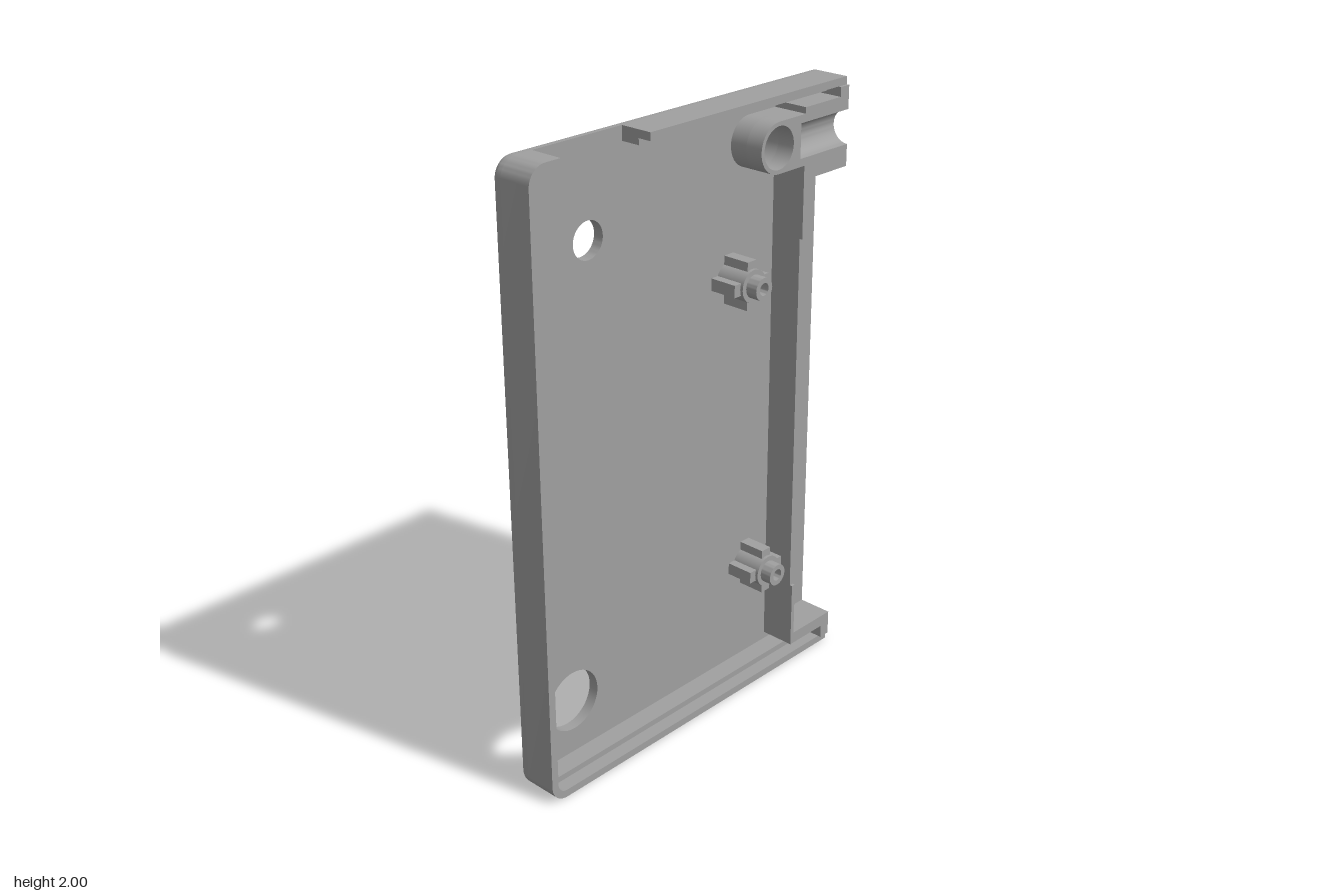
import * as THREE from 'three';
import { toCreasedNormals } from 'three/addons/utils/BufferGeometryUtils.js';

const X = 0.655, H = 2, R = 0.06;           // half width, height, corner radius
const BACK = -0.09, FLOOR = -0.055, LEDGE = 0.01, RIM = 0.055, RAISED = 0.065;

export function createModel() {
  const group = new THREE.Group();
  const grey = new THREE.MeshStandardMaterial({ color: 0xa0a0a0 });
  grey.name = 'grey';

  const add = (name, geometry, parent = group) => {
    const mesh = new THREE.Mesh(toCreasedNormals(geometry, 0.6), grey);
    mesh.name = name;
    parent.add(mesh);
    return mesh;
  };
  // plan shape raised from z0 to z1
  const raise = (name, shape, z0, z1, parent) => {
    const g = new THREE.ExtrudeGeometry(shape, { depth: z1 - z0, bevelEnabled: false, curveSegments: 20 });
    return add(name, g.translate(0, 0, z0), parent);
  };
  const polygon = (points) => new THREE.Shape(points.map(([x, y]) => new THREE.Vector2(x, y)));
  const rect = (x0, x1, y0, y1) => polygon([[x0, y0], [x1, y0], [x1, y1], [x0, y1]]);
  const circle = (x, y, r) => new THREE.Path().absarc(x, y, r, 0, Math.PI * 2, true);
  const arc = (x, y, r, a0, a1, n = 12) => Array.from({ length: n + 1 }, (_, i) => {
    const a = a0 + (a1 - a0) * i / n;
    return [x + r * Math.cos(a), y + r * Math.sin(a)];
  });
  // top end to right end, round the two left corners, at a given inset
  const edgePath = (inset, xTop, xBottom) => [
    [xTop, H - inset],
    ...arc(-X + R, H - R, R - inset, Math.PI / 2, Math.PI),
    ...arc(-X + R, R, R - inset, Math.PI, Math.PI * 1.5),
    [xBottom, inset],
  ];

  // back plate with three through holes
  const plate = polygon([...edgePath(0, X, X)]);
  plate.holes.push(circle(-0.345, 1.7, 0.058), circle(-0.455, 0.23, 0.102), circle(0.33, 1.845, 0.067));
  const plateGeo = new THREE.ExtrudeGeometry(plate, { depth: 1, steps: 6, bevelEnabled: false, curveSegments: 24 });
  const pos = plateGeo.attributes.position;
  const fillet = 0.022;
  for (let i = 0; i < pos.count; i++) {
    // round the rear edge, except along the open right side
    const step = Math.round(pos.getZ(i) * 6);
    const a = Math.min(step / 5, 1) * Math.PI / 2;
    const k = (R - fillet * (1 - Math.sin(a))) / R;
    const x = pos.getX(i), y = pos.getY(i);
    const cx = Math.max(x, -X + R), cy = THREE.MathUtils.clamp(y, R, H - R);
    const z = step === 6 ? FLOOR : BACK + fillet * (1 - Math.cos(a));
    pos.setXYZ(i, cx + (x - cx) * k, cy + (y - cy) * k, z);
  }
  add('backPlate', plateGeo);

  // outer rim and lower inner ledge, with a gap in the top side
  const band = (a, b, xEnd) => polygon([...edgePath(a, -0.54, xEnd), ...edgePath(b, -0.54, xEnd).reverse()]);
  raise('outerRim', band(0, 0.025, X), FLOOR, RIM);
  raise('innerLedge', band(0.025, 0.045, 0.615), FLOOR, LEDGE);
  raise('topRim', rect(-0.205, X, H - 0.025, H), FLOOR, RIM);
  raise('topLedge', rect(-0.205, 0.615, H - 0.045, H - 0.025), FLOOR, LEDGE);

  // partition beside the open channel, raised at both ends
  raise('partition', rect(0.45, 0.465, 0.11, 1.72), FLOOR, RIM);
  raise('partitionLowerEnd', rect(0.45, 0.465, 0.11, 0.3), RIM, RAISED);
  raise('partitionUpperEnd', rect(0.45, 0.465, 1.53, 1.72), RIM, RAISED);

  // lower corner block
  raise('lowerBlock', polygon([
    [0.45, 0.07], [0.615, 0.07], [0.615, 0.025], [X, 0.025], [X, 0.11], [0.45, 0.11],
  ]), FLOOR, RAISED);

  // upper corner block with round boss and half-round groove
  const split = 0.005, gy = 1.845, gr = 0.055;
  const upperPlan = (cut) => {
    const shape = polygon([
      [X, 1.72], ...cut, [X, 1.975], [0.615, 1.975], [0.615, 1.945], [0.45, 1.945], [0.45, gy + 0.08],
      ...arc(0.33, gy, 0.08, Math.PI / 2, Math.PI * 1.5, 20), [0.45, gy - 0.08], [0.45, 1.72],
    ]);
    shape.holes.push(circle(0.33, gy, 0.067));
    return shape;
  };
  raise('upperBlockBase', upperPlan([]), FLOOR, split);
  raise('upperBlock', upperPlan([[X, gy - gr], [0.43, gy - gr], [0.43, gy + gr], [X, gy + gr]]), split, RAISED);
  // groove profile drawn with x = y and y = z, then run along x
  const groove = polygon([
    [gy - gr, split], [gy + gr, split], ...arc(gy, RAISED, gr, 0, -Math.PI, 24),
  ]);
  const grooveGeo = new THREE.ExtrudeGeometry(groove, { depth: X - 0.43, bevelEnabled: false });
  grooveGeo.applyMatrix4(new THREE.Matrix4().set(0, 0, 1, 0.43, 1, 0, 0, 0, 0, 1, 0, 0, 0, 0, 0, 1));
  add('groove', grooveGeo);

  // hollow posts with four ribs
  const ring = (r, hole) => {
    const s = new THREE.Shape().absarc(0, 0, r, 0, Math.PI * 2, false);
    s.holes.push(circle(0, 0, hole));
    return s;
  };
  for (const [x, y] of [[0.245, 1.43], [0.34, 0.4]]) {
    const post = new THREE.Group();
    post.name = 'post';
    post.position.set(x, y, 0);
    raise('postBody', ring(0.053, 0.02), FLOOR, 0.05, post);
    raise('postTip', ring(0.037, 0.02), 0.05, 0.09, post);
    for (let i = 0; i < 4; i++) {
      raise('postRib', rect(0.045, 0.078, -0.02, 0.02), FLOOR, 0.04, post).rotation.z = i * Math.PI / 2;
    }
    group.add(post);
  }
  return group;
}
